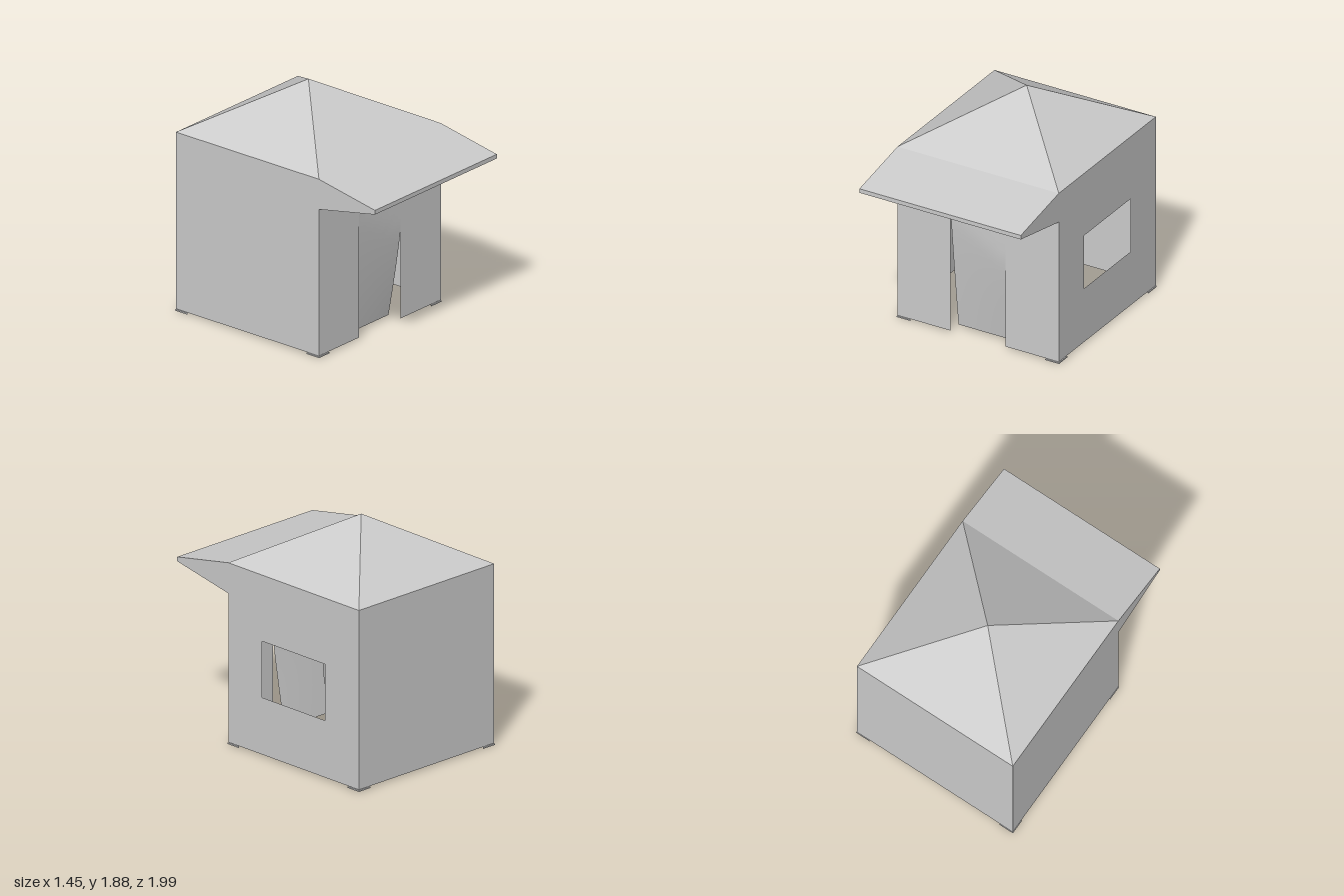
import * as THREE from 'three';

const W = 0.72, FRONT = 0.44, BACK = -0.99, MID = (FRONT + BACK) / 2;
const EAVE = 1.48, HEM = 0.015, APEX = 1.885;

const cloth = new THREE.MeshStandardMaterial({ color: 0xcccccc, side: THREE.DoubleSide });
const metal = new THREE.MeshStandardMaterial({ color: 0xcccccc, flatShading: true });

function outline(points, hole) {
  const shape = new THREE.Shape(points.map(([x, y]) => new THREE.Vector2(x, y)));
  if (hole) shape.holes.push(new THREE.Path(hole.map(([x, y]) => new THREE.Vector2(x, y))));
  return shape;
}

export function createModel() {
  const model = new THREE.Group();
  const add = (name, geometry, material = cloth) => {
    const mesh = new THREE.Mesh(geometry, material);
    mesh.name = name;
    model.add(mesh);
    return mesh;
  };

  // Flat fabric polygon through 3D corners, fanned from the first
  const panel = (name, ...corners) => {
    const p = [];
    for (let i = 1; i < corners.length - 1; i++) p.push(...corners[0], ...corners[i], ...corners[i + 1]);
    const g = new THREE.BufferGeometry();
    g.setAttribute('position', new THREE.Float32BufferAttribute(p, 3));
    g.computeVertexNormals();
    return add(name, g);
  };

  // Thin tube between two points
  const rod = (name, a, b, r = 0.007) => {
    const from = new THREE.Vector3(...a), to = new THREE.Vector3(...b);
    const m = add(name, new THREE.CylinderGeometry(r, r, from.distanceTo(to), 6), metal);
    m.position.copy(from).lerp(to, 0.5);
    m.quaternion.setFromUnitVectors(new THREE.Vector3(0, 1, 0), to.sub(from).normalize());
  };

  // Front wall with the doorway cut up from its hem
  const D = 0.245, DOOR_TOP = 1.04;
  add('frontWall', new THREE.ShapeGeometry(outline([
    [-W, HEM], [-D, HEM], [-D, DOOR_TOP], [D, DOOR_TOP], [D, HEM], [W, HEM], [W, EAVE], [-W, EAVE],
  ]))).position.z = FRONT;

  // Door flap, swinging inward and narrowing toward its hem
  const flap = new THREE.PlaneGeometry(1, 1, 8, 16);
  const fp = flap.attributes.position;
  for (let i = 0; i < fp.count; i++) {
    const u = fp.getX(i) + 0.5, v = fp.getY(i) + 0.5;
    const y = THREE.MathUtils.lerp(0.025, DOOR_TOP, v);
    const start = THREE.MathUtils.lerp(DOOR_TOP, 0.76, u);
    const open = Math.max(0, (start - y) / (start - 0.025));
    const left = -D + 0.01 * Math.sqrt(open), right = D - 0.025 * open;
    fp.setXYZ(i, THREE.MathUtils.lerp(left, right, u), y, FRONT - 0.1 * open ** 1.2);
  }
  flap.computeVertexNormals();
  add('doorFlap', flap);

  // Side walls, the right one with a window
  const side = [[BACK, HEM], [FRONT, HEM], [FRONT, EAVE], [BACK, EAVE]];
  const windowHole = [[-0.62, 0.48], [-0.62, 0.94], [0.07, 0.94], [0.07, 0.48]];
  for (const [name, x, hole] of [['windowWall', W, windowHole], ['plainSideWall', -W, null]]) {
    const g = new THREE.ShapeGeometry(outline(side, hole));
    g.rotateY(-Math.PI / 2);
    add(name, g).position.x = x;
  }
  panel('backWall', [W, HEM, BACK], [-W, HEM, BACK], [-W, EAVE, BACK], [W, EAVE, BACK]);

  // Pyramid roof
  const corners = [[-W, EAVE, FRONT], [W, EAVE, FRONT], [W, EAVE, BACK], [-W, EAVE, BACK]];
  corners.forEach((c, i) => panel('roofPanel', c, corners[(i + 1) % 4], [0, APEX, MID]));

  // Awning: sloping top, narrow fascia and tapered cheeks, open below
  panel('awningTop', [-W, 1.375, 1], [W, 1.375, 1], [W, EAVE, FRONT], [-W, EAVE, FRONT]);
  panel('awningFascia', [-W, 1.34, 1], [W, 1.34, 1], [W, 1.375, 1], [-W, 1.375, 1]);
  for (const s of [-1, 1]) {
    const x = s * W;
    const cheek = [[x, 1.23, FRONT], [x, 1.34, 1], [x, 1.375, 1], [x, EAVE, FRONT]];
    panel('awningCheek', ...(s > 0 ? cheek.reverse() : cheek));
    rod('awningStrut', [s * 0.705, 1.245, FRONT], [s * 0.705, 1.345, 0.99]);
  }

  // Corner legs, triangular feet and hip rafters
  const inset = 0.695, zF = FRONT - 0.025, zB = BACK + 0.025;
  for (const sx of [-1, 1]) {
    for (const sz of [-1, 1]) {
      const z = sz > 0 ? zF : zB;
      const leg = add('leg', new THREE.BoxGeometry(0.025, 1.45, 0.025), metal);
      leg.position.set(sx * inset, 0.73, z);

      const tri = [[0, 0], [-sx * 0.125, 0], [0, sz * 0.125]];
      const foot = new THREE.ExtrudeGeometry(outline(tri), { depth: 0.01, bevelEnabled: false });
      foot.rotateX(-Math.PI / 2);
      add('foot', foot, metal).position.set(sx * 0.724, 0, sz > 0 ? FRONT + 0.004 : BACK - 0.004);
      rod('rafter', [sx * inset, 1.45, z], [0, APEX - 0.04, MID]);
    }
  }

  // Folding scissor trusses, two crosses along each side
  const low = 1.2, high = 1.44;
  const scissor = (a, b) => {
    rod('scissorBar', [a[0], low, a[1]], [b[0], high, b[1]]);
    rod('scissorBar', [a[0], high, a[1]], [b[0], low, b[1]]);
  };
  for (const s of [-1, 1]) {
    for (const z of [zF, zB]) scissor([s * inset, z], [0, z]);
    for (const z of [zF, zB]) scissor([s * inset, z], [s * inset, MID]);
  }

  return model;
}
